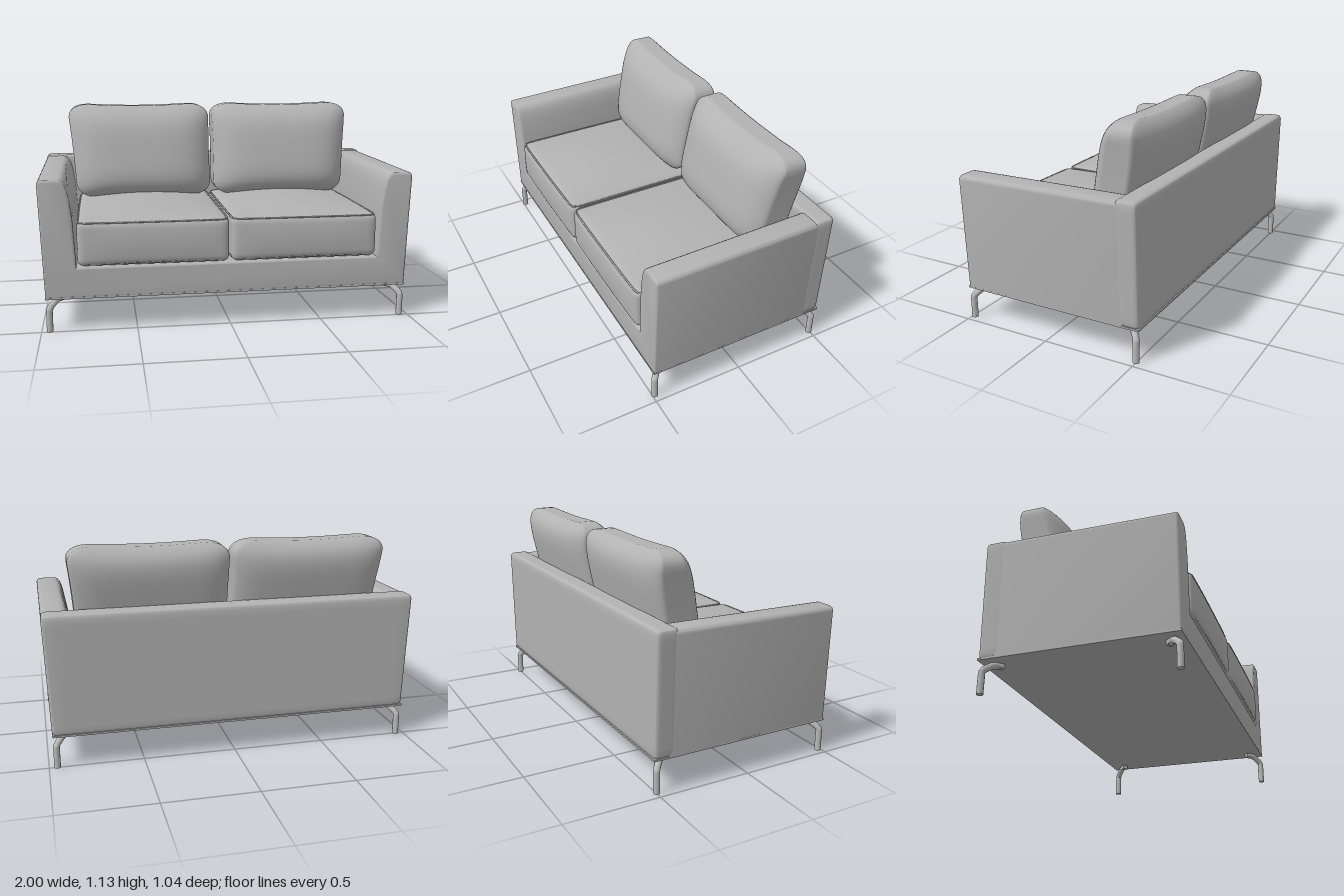
import * as THREE from 'three';
import { mergeVertices, toCreasedNormals } from 'three/addons/utils/BufferGeometryUtils.js';

const fabric = new THREE.MeshStandardMaterial({ color: 0xb2b2b2 });
fabric.name = 'grey fabric';
const metal = new THREE.MeshStandardMaterial({ color: 0xbababa });
metal.name = 'light grey metal';

// Rounded, finely divided box; shape(p, u, v, w) then moves each vertex,
// where u, v, w run from -1 to 1 across the box.
function softBox(w, h, d, r, n, shape) {
  let g = new THREE.BoxGeometry(2, 2, 2, n, n, n);
  g.deleteAttribute('uv');
  g.deleteAttribute('normal');
  g = mergeVertices(g);
  const half = new THREE.Vector3(w / 2, h / 2, d / 2);
  const core = half.clone().subScalar(r);
  const pos = g.attributes.position;
  const p = new THREE.Vector3();
  const ease = (t) => Math.sin((t * Math.PI) / 2); // packs vertices near the edges
  for (let i = 0; i < pos.count; i++) {
    p.fromBufferAttribute(pos, i);
    p.set(ease(p.x), ease(p.y), ease(p.z)).multiply(half);
    const inner = p.clone().clamp(core.clone().negate(), core);
    const out = p.clone().sub(inner);
    if (out.lengthSq() > 0) p.copy(inner).addScaledVector(out.normalize(), r);
    shape(p, p.x / half.x, p.y / half.y, p.z / half.z);
    pos.setXYZ(i, p.x, p.y, p.z);
  }
  g.computeVertexNormals();
  return g;
}

// Arms and front rail: one U-shaped profile run from back to front
function frameGeometry() {
  const b = 0.012; // edge rounding
  const s = new THREE.Shape();
  s.moveTo(-0.975 + b, 0.178 + b);
  s.lineTo(0.975 - b, 0.178 + b);
  s.lineTo(0.998 - b, 0.775);
  s.quadraticCurveTo(0.999 - b, 0.802 - b, 0.97, 0.802 - b);
  s.lineTo(0.895, 0.802 - b);
  s.bezierCurveTo(0.865, 0.79, 0.85, 0.73, 0.825 + b, 0.6);
  s.lineTo(0.81 + b, 0.34 - b);
  s.lineTo(-0.81 - b, 0.34 - b);
  s.lineTo(-0.825 - b, 0.6);
  s.bezierCurveTo(-0.85, 0.73, -0.865, 0.79, -0.895, 0.802 - b);
  s.lineTo(-0.97, 0.802 - b);
  s.quadraticCurveTo(-0.999 + b, 0.802 - b, -0.998 + b, 0.775);
  s.closePath();
  const g = new THREE.ExtrudeGeometry(s, {
    depth: 0.94 - 2 * b, bevelThickness: b, bevelSize: b, bevelSegments: 3, curveSegments: 10,
  });
  g.translate(0, 0, -0.44 + b);
  // arm tops rise slightly to the rear
  const pos = g.attributes.position;
  for (let i = 0; i < pos.count; i++) {
    if (pos.getY(i) > 0.7) pos.setY(i, pos.getY(i) + 0.014 * (0.5 - pos.getZ(i)));
  }
  return toCreasedNormals(g, 0.7);
}

// Back panel, a little wider at the top
function backPanelGeometry() {
  return softBox(2, 0.645, 0.12, 0.025, 16, (p, u, v) => {
    p.x *= 0.9875 + 0.0125 * v;
    p.y += 0.4985;
    p.z -= 0.46;
  });
}

// Seat cushion with crowned top and bulging front
function seatGeometry(side) {
  return softBox(0.8, 0.24, 0.91, 0.035, 24, (p, u, v, w) => {
    p.x += side * 0.405;
    p.y += 0.463;
    if (v > 0) p.y += 0.045 * v * (1 - u * u) * (1 - w * w);
    p.z += 0.053;
    if (w > 0) p.z += 0.013 * w * (1 - v * v) * (1 - u ** 4);
  });
}

// Piping that follows a seat cushion's edge at one height
function pipingGeometry(side, y) {
  const hx = 0.391, hz = 0.446, r = 0.03, pts = [];
  for (let k = 0; k < 4; k++) {
    const sx = k === 0 || k === 3 ? 1 : -1;
    const sz = k < 2 ? 1 : -1;
    for (let j = 0; j <= 4; j++) {
      const a = ((k + j / 4) * Math.PI) / 2;
      pts.push(new THREE.Vector3(
        side * 0.405 + sx * (hx - r) + r * Math.cos(a), y,
        0.053 + sz * (hz - r) + r * Math.sin(a)));
    }
  }
  const path = new THREE.CatmullRomCurve3(pts, true, 'centripetal');
  return new THREE.TubeGeometry(path, 120, 0.005, 6, true);
}

// Back cushion: plump, leaning backwards, with raised top corners
function backCushionGeometry(side) {
  return softBox(2, 2, 2, 0.32, 24, (p, u, v, w) => {
    const a = side * u; // 1 at the outer edge
    const t = (v + 1) / 2;
    const reach = a > 0 ? 0.378 + 0.054 * t : 0.428;
    const bow = 1 - 0.02 * (1 - v * v) * Math.abs(a);
    const plump = 0.068 + 0.08 * (1 - v ** 4);
    const edge = 1 - 0.3 * a ** 4;
    p.x = side * (0.434 + a * reach * bow);
    p.y = 0.6 + 0.525 * t + 0.02 * v * a * a;
    p.z = -0.228 - 0.112 * t + w * plump * edge - 0.025 * a ** 4;
  });
}

// Bent leg: upright foot, slanted neck and short mount under the base
function legGeometry(sx, sz) {
  const z = sz > 0 ? 0.487 : -0.498;
  const at = (inset, y) => new THREE.Vector3(sx * (0.957 - inset), y, z - sz * inset);
  const stops = [at(0, 0), at(0, 0.118), at(0.008, 0.132), at(0.034, 0.158), at(0.046, 0.163), at(0.065, 0.163)];
  const path = new THREE.CurvePath();
  for (let i = 1; i < stops.length; i++) path.add(new THREE.LineCurve3(stops[i - 1], stops[i]));
  return { geometry: new THREE.TubeGeometry(path, 40, 0.017, 12), foot: stops[0], tip: stops[5] };
}

export function createModel() {
  const model = new THREE.Group();
  model.name = 'sofa';
  const add = (name, geometry, material = fabric, parent = model) => {
    const mesh = new THREE.Mesh(geometry, material);
    mesh.name = name;
    parent.add(mesh);
    return mesh;
  };

  add('armsAndFrontRail', frameGeometry());
  add('backPanel', backPanelGeometry());
  add('basePlate', new THREE.BoxGeometry(1.95, 0.01, 1.02)).position.set(0, 0.179, -0.01);

  for (const side of [1, -1]) {
    const label = side > 0 ? 'left' : 'right';
    add(label + 'SeatCushion', seatGeometry(side));
    add(label + 'SeatTopPiping', pipingGeometry(side, 0.574));
    add(label + 'SeatBottomPiping', pipingGeometry(side, 0.36));
    add(label + 'BackCushion', backCushionGeometry(side));

    for (const end of [1, -1]) {
      const leg = new THREE.Group();
      leg.name = label + (end > 0 ? 'FrontLeg' : 'BackLeg');
      const { geometry, foot, tip } = legGeometry(side, end);
      add('legBar', geometry, metal, leg);
      // end caps: sole and mounting block
      const sole = add('legSole', new THREE.CylinderGeometry(0.017, 0.017, 0.004, 12), metal, leg);
      sole.position.set(foot.x, 0.002, foot.z);
      const mount = add('legMount', new THREE.BoxGeometry(0.03, 0.024, 0.03), metal, leg);
      mount.position.set(tip.x, 0.163, tip.z);
      mount.rotation.y = Math.PI / 4;
      model.add(leg);
    }
  }
  return model;
}
